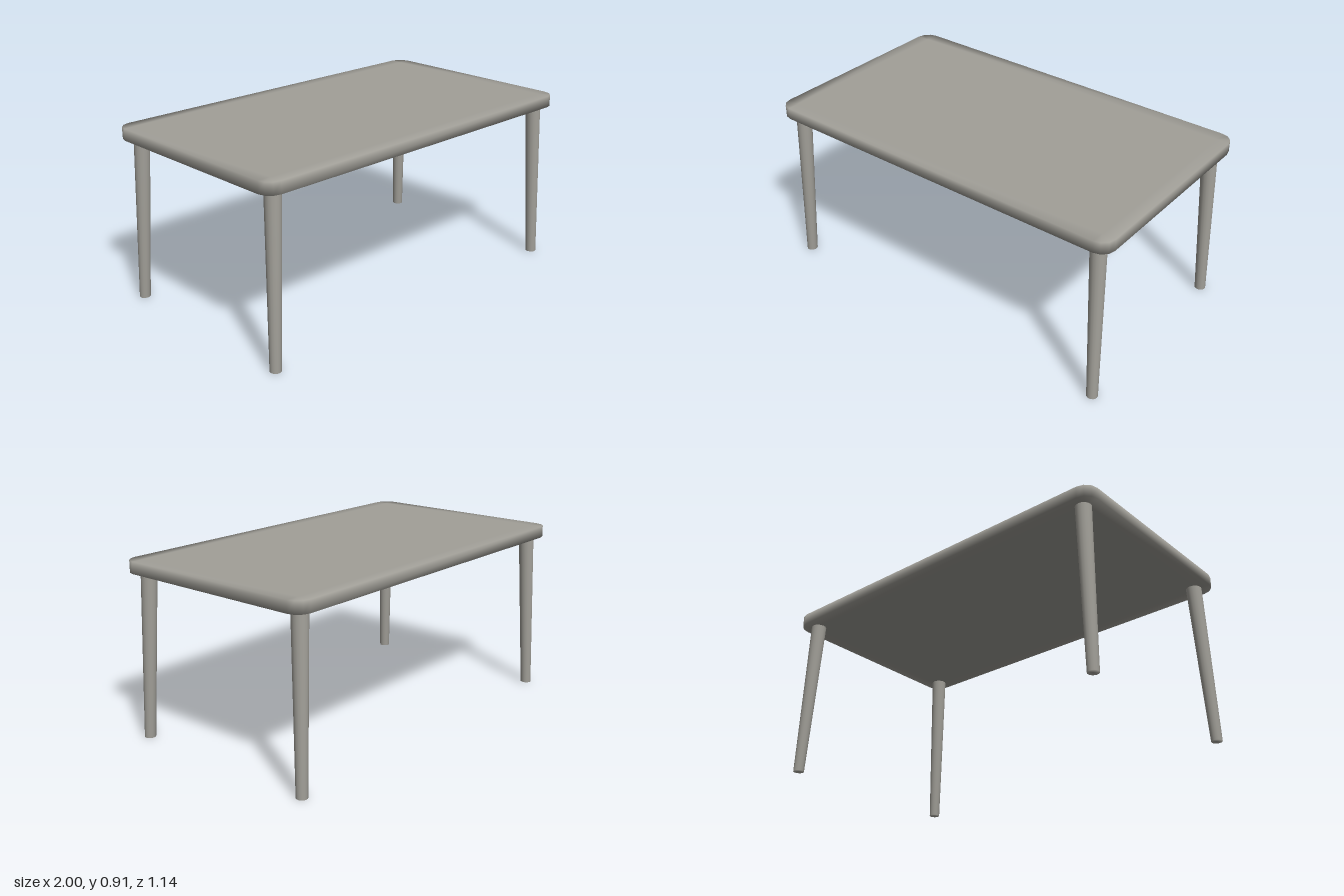
import * as THREE from 'three';
import { mergeVertices } from 'three/addons/utils/BufferGeometryUtils.js';

const HALF_X = 1, HALF_Z = 0.568, BOTTOM = 0.85, TOP = 0.91, RADIUS = 0.07;

// One loop of a rounded rectangle at height y; the corner centres stay fixed as r changes
function roundedLoop(y, r, steps = 3) {
  const points = [];
  for (let c = 0; c < 4; c++) {
    const sx = c === 0 || c === 3 ? 1 : -1, sz = c < 2 ? 1 : -1;
    for (let i = 0; i <= steps; i++) {
      const a = (c + i / steps) * Math.PI / 2;
      points.push([sx * (HALF_X - RADIUS) + r * Math.cos(a), y, sz * (HALF_Z - RADIUS) + r * Math.sin(a)]);
    }
  }
  return points;
}

// Slab with a flat field and a softly shaded border above and below
function tableTopGeometry() {
  const loops = [
    roundedLoop(BOTTOM, 0.004), roundedLoop(BOTTOM, RADIUS),
    roundedLoop(TOP, RADIUS), roundedLoop(TOP, 0.004),
  ];
  const n = loops[0].length, positions = loops.flat(2), index = [];
  for (let l = 0; l < loops.length - 1; l++) {
    for (let i = 0; i < n; i++) {
      const j = (i + 1) % n, a = l * n + i, b = l * n + j;
      index.push(a, a + n, b, b, a + n, b + n);
    }
  }
  // Close the flat fields with fans
  const low = loops.length * n, high = low + 1, last = (loops.length - 1) * n;
  positions.push(0, BOTTOM, 0, 0, TOP, 0);
  for (let i = 0; i < n; i++) {
    const j = (i + 1) % n;
    index.push(low, i, j, high, last + j, last + i);
  }
  const g = new THREE.BufferGeometry();
  g.setAttribute('position', new THREE.Float32BufferAttribute(positions, 3));
  g.setIndex(index);
  g.computeVertexNormals();
  return g;
}

// Tapered leg, slanted outwards but cut level at the floor
function legGeometry(sx, sz) {
  const height = 0.855;
  let g = new THREE.CylinderGeometry(0.04, 0.028, height, 16, 1);
  g.translate(0, height / 2, 0);
  const p = g.attributes.position;
  for (let i = 0; i < p.count; i++) {
    const t = p.getY(i) / height;
    p.setX(i, p.getX(i) + sx * THREE.MathUtils.lerp(0.946, 0.912, t));
    p.setZ(i, p.getZ(i) + sz * THREE.MathUtils.lerp(0.516, 0.489, t));
  }
  // Share vertices so the shading runs smoothly over the ends
  g.deleteAttribute('normal');
  g.deleteAttribute('uv');
  g = mergeVertices(g);
  g.computeVertexNormals();
  return g;
}

export function createModel() {
  const model = new THREE.Group();
  model.name = 'table';
  const grey = new THREE.MeshStandardMaterial({ color: 0xa19f98 });
  grey.name = 'warm grey';

  const top = new THREE.Mesh(tableTopGeometry(), grey);
  top.name = 'tableTop';
  model.add(top);

  for (const [sz, end] of [[1, 'front'], [-1, 'back']]) {
    for (const [sx, side] of [[1, 'Left'], [-1, 'Right']]) {
      const leg = new THREE.Mesh(legGeometry(sx, sz), grey);
      leg.name = `${end}${side}Leg`;
      model.add(leg);
    }
  }
  return model;
}
